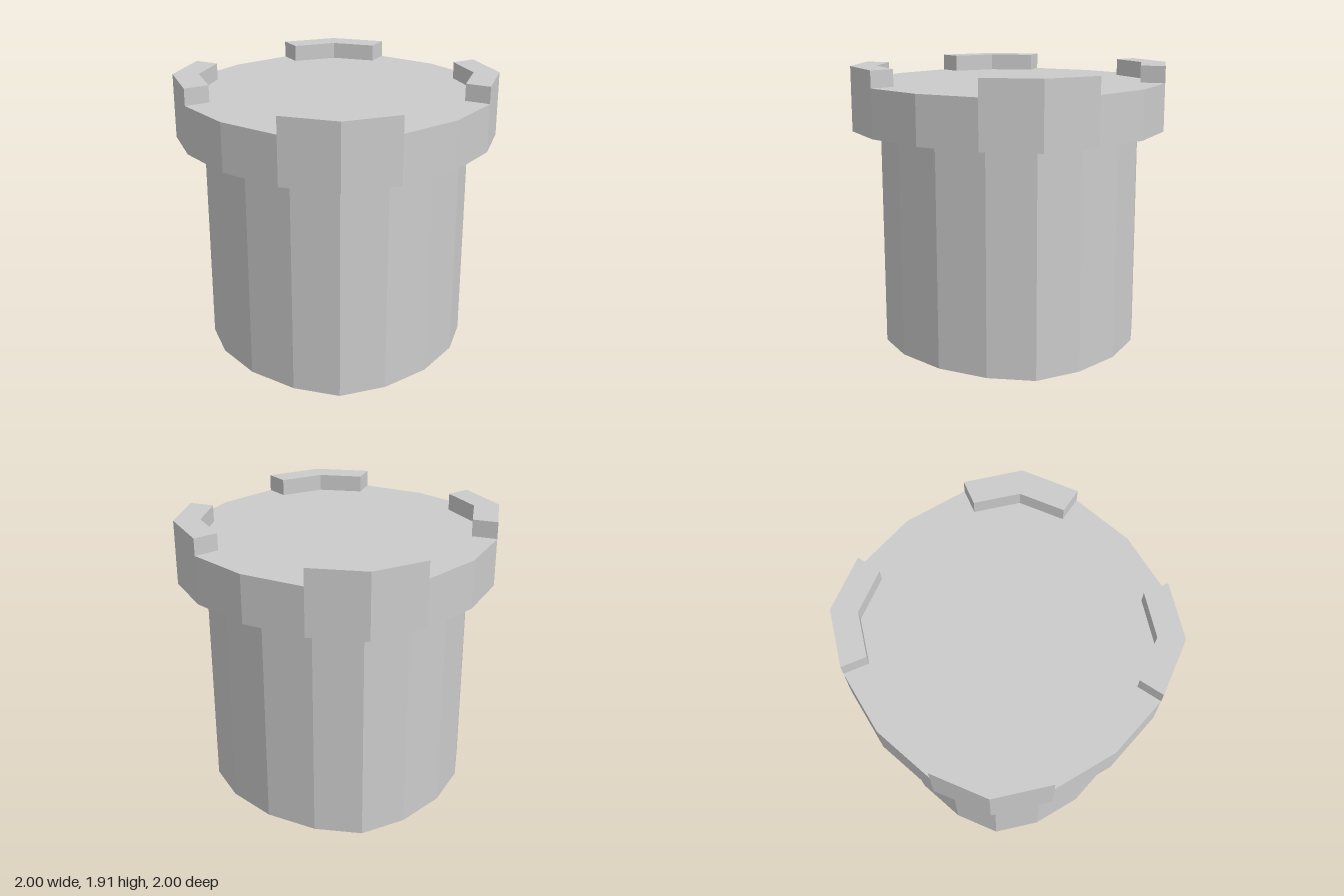
import * as THREE from 'three';

const material = new THREE.MeshStandardMaterial({ color: 0xcccccc, flatShading: true });

// Upright prism over an outline in the ground plane
function prism(name, points, y0, y1) {
  const shape = new THREE.Shape(points.map(([x, y]) => new THREE.Vector2(x, y)));
  const geometry = new THREE.ExtrudeGeometry(shape, { depth: y1 - y0, bevelEnabled: false });
  geometry.rotateX(-Math.PI / 2).translate(0, y0, 0);
  const mesh = new THREE.Mesh(geometry, material);
  mesh.name = name;
  return mesh;
}

// Sixteen-sided outline: one quarter turned four times
function outline(scale) {
  const quarter = [[1, 0], [0.935, 0.42], [0.762, 0.762], [0.42, 0.935]];
  const points = [];
  for (let i = 0; i < 4; i++) {
    const c = Math.round(Math.cos(i * Math.PI / 2));
    const s = Math.round(Math.sin(i * Math.PI / 2));
    for (const [x, y] of quarter) points.push([(x * c - y * s) * scale, (x * s + y * c) * scale]);
  }
  return points;
}

export function createModel() {
  const group = new THREE.Group();
  group.name = 'plug';

  group.add(prism('body', outline(0.826), 0, 1.42));
  group.add(prism('collar', outline(0.832), 1.42, 1.48));
  group.add(prism('cap', outline(1), 1.48, 1.8));

  // Four raised corner tabs on the rim
  const tab = [[0.935, 0.42], [0.762, 0.762], [0.42, 0.935], [0.373, 0.776], [0.64, 0.64], [0.776, 0.373]];
  for (let i = 0; i < 4; i++) {
    const mesh = prism('rimTab' + (i + 1), tab, 1.8, 1.912);
    mesh.rotation.y = i * Math.PI / 2;
    group.add(mesh);
  }
  return group;
}
